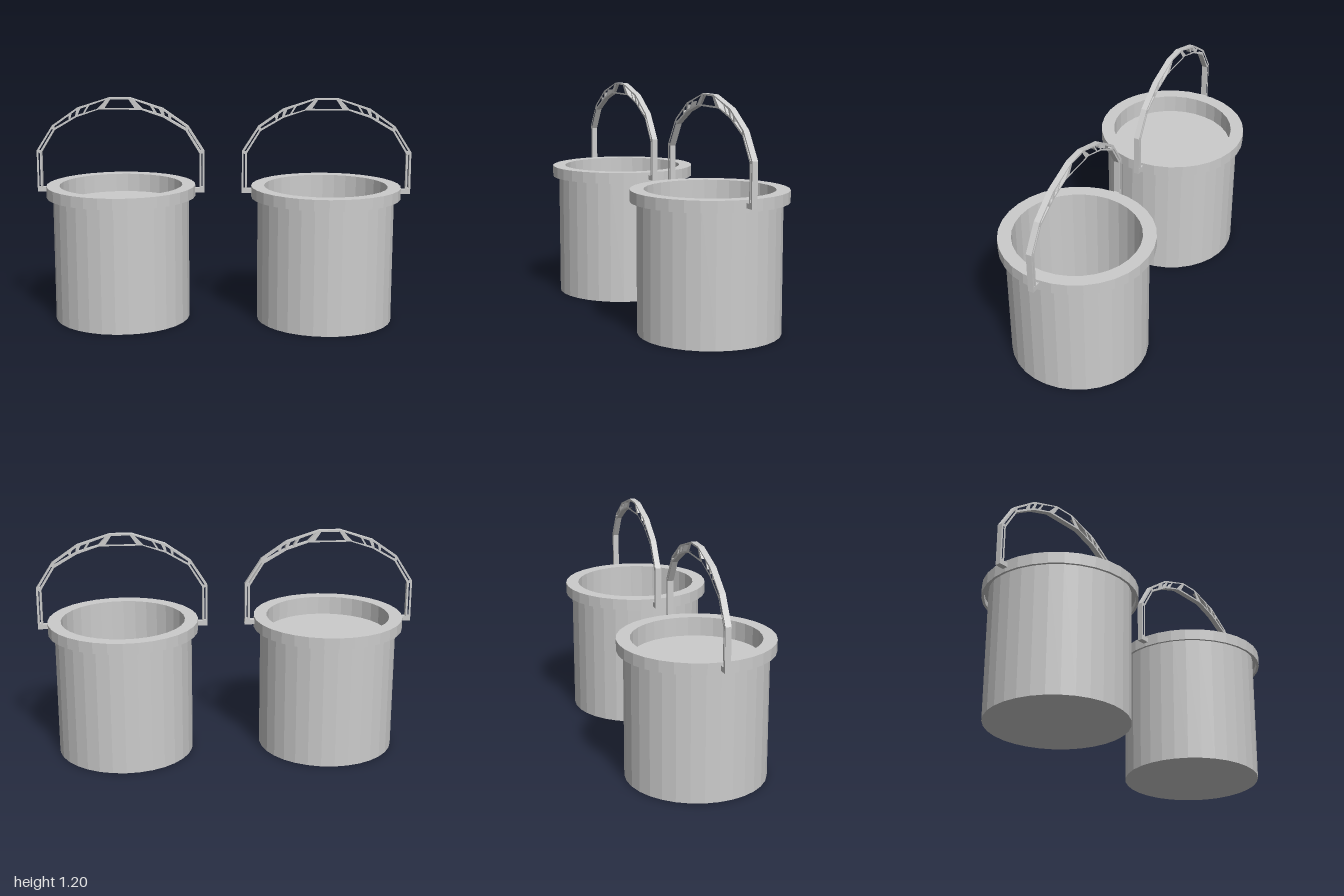
import * as THREE from 'three';

const material = new THREE.MeshStandardMaterial({ color: 0xcccccc, flatShading: true });
const SIDES = 32;

function addMesh(parent, name, geometry) {
  const mesh = new THREE.Mesh(geometry, material);
  mesh.name = name;
  parent.add(mesh);
  return mesh;
}

// Handle arch, from the left foot over the top to the right foot: outer and inner edges.
const mirrorX = (pts) => [...pts, ...pts.slice().reverse().map(([x, y]) => [-x, y])];
const outer = mirrorX([[-0.45, 0.715], [-0.45, 0.915], [-0.364, 1.05], [-0.23, 1.144], [-0.056, 1.2]]);
const inner = mirrorX([[-0.423, 0.715], [-0.423, 0.905], [-0.35, 1.025], [-0.23, 1.096], [-0.112, 1.136]]);
const RAIL = 0.011;

// Point in a handle section: u runs along it, the rail thickness is kept on each side.
function sectionPoint(i, u, onOuter) {
  const mix = (pts) => new THREE.Vector2(...pts[i]).lerp(new THREE.Vector2(...pts[i + 1]), u);
  const a = mix(outer), b = mix(inner);
  const t = Math.min(RAIL / a.distanceTo(b), 0.38);
  return onOuter ? a.lerp(b, t) : b.lerp(a, t);
}

function handleGeometry() {
  const toVec = ([x, y]) => new THREE.Vector2(x, y);
  const shape = new THREE.Shape([...outer.map(toVec), ...inner.slice().reverse().map(toVec)]);
  // Windows per section: [start, end, slant]; the second half mirrors the first.
  const windows = [
    [[0.03, 0.96, 0]],
    [[0.06, 0.94, 0]],
    [[0.06, 0.66, 0], [0.74, 0.93, 0.06]],
    [[0.05, 0.26, 0.08], [0.36, 0.88, 0.06]],
    [[0.12, 0.88, 0]],
  ];
  for (let i = 0; i < outer.length - 1; i++) {
    const flip = i > 4;
    for (const [a, b, slant] of windows[flip ? 8 - i : i]) {
      const at = (u, side) => sectionPoint(i, flip ? 1 - u : u, side);
      shape.holes.push(new THREE.Path([at(a + slant, true), at(b + slant, true), at(b, false), at(a, false)]));
    }
  }
  return new THREE.ExtrudeGeometry(shape, { depth: 0.03, bevelEnabled: false }).translate(0, 0, -0.015);
}

function createBucket(name, filled) {
  const bucket = new THREE.Group();
  bucket.name = name;

  // Body, overhanging rim with a hollow underside, inner wall and floor
  const profile = [
    [0, 0], [0.365, 0], [0.365, 0.7], [0.387, 0.7], [0.387, 0.67], [0.4, 0.67],
    [0.4, 0.73], [0.33, 0.73], [0.33, 0.035], [0, 0.035],
  ].map(([r, y]) => new THREE.Vector2(r, y));
  addMesh(bucket, 'bucketBody', new THREE.LatheGeometry(profile, SIDES));

  // Contents
  if (filled) {
    const surface = addMesh(bucket, 'contentsSurface', new THREE.CircleGeometry(0.33, SIDES));
    surface.rotation.x = -Math.PI / 2;
    surface.position.y = 0.63;
  }

  // Handle with a foot on each side that reaches the rim
  const handle = new THREE.Group();
  handle.name = 'handle';
  addMesh(handle, 'handleArch', handleGeometry());
  for (const side of [-1, 1]) {
    const foot = addMesh(handle, 'handleFoot', new THREE.BoxGeometry(0.06, 0.025, 0.03));
    foot.position.set(side * 0.42, 0.7025, 0);
  }
  bucket.add(handle);
  return bucket;
}

export function createModel() {
  const model = new THREE.Group();
  model.name = 'bucketPair';
  const empty = createBucket('emptyBucket', false);
  empty.position.x = 0.55;
  const full = createBucket('filledBucket', true);
  full.position.x = -0.55;
  model.add(empty, full);
  return model;
}
